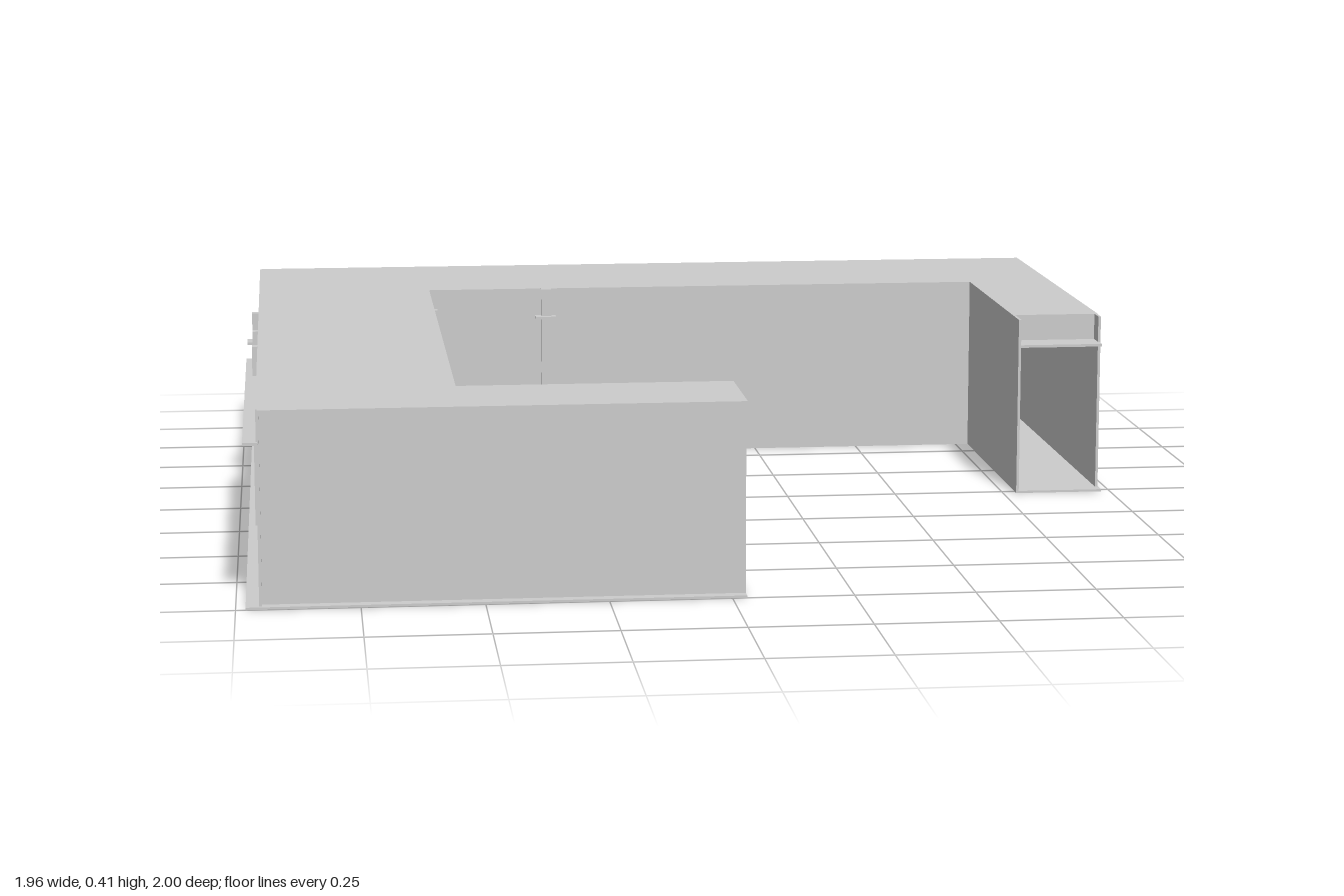
import * as THREE from 'three';

export function createModel() {
  const model = new THREE.Group();
  const mat = new THREE.MeshStandardMaterial({ color: 0xcccccc, flatShading: true, side: THREE.DoubleSide });
  const TOP = 0.405, HEAD = 0.34, T = 0.006;

  // Box given by its minimum and maximum along each axis
  function box(name, x0, x1, y0, y1, z0, z1) {
    const mesh = new THREE.Mesh(new THREE.BoxGeometry(x1 - x0, y1 - y0, z1 - z0), mat);
    mesh.position.set((x0 + x1) / 2, (y0 + y1) / 2, (z0 + z1) / 2);
    mesh.name = name;
    model.add(mesh);
  }
  // Thin walls running along x or along z
  const wallX = (name, x0, x1, z, y0 = 0, y1 = TOP) => box(name, x0, x1, y0, y1, z - T / 2, z + T / 2);
  const wallZ = (name, z0, z1, x, y0 = 0, y1 = TOP) => box(name, x - T / 2, x + T / 2, y0, y1, z0, z1);

  // Floor and roof share the C-shaped plan
  function slab(name, y, left, end) {
    const plan = [[left, -1], [0.98, -1], [0.98, end], [0.78, end], [0.78, -0.59],
      [-0.545, -0.59], [-0.545, 0.76], [0.03, 0.76], [0.03, 1], [left, 1]];
    const shape = new THREE.Shape(plan.map(([x, z]) => new THREE.Vector2(x, -z)));
    const geo = new THREE.ExtrudeGeometry(shape, { depth: 0.005, bevelEnabled: false });
    geo.rotateX(-Math.PI / 2);
    const mesh = new THREE.Mesh(geo, mat);
    mesh.position.y = y;
    mesh.name = name;
    model.add(mesh);
  }
  slab('floor', 0, -0.98, 0.02);
  slab('roof', TOP - 0.005, -0.95, -0.055);

  // Back wall with a doorway
  wallX('backWall', -0.95, 0, -0.975);
  wallX('backWall', 0.2, 0.975, -0.975);
  wallX('backLintel', 0, 0.2, -0.965, HEAD, TOP);
  box('backDoorHead', 0, 0.2, HEAD, HEAD + T, -0.985, -0.94);

  // Outer side wall with a doorway and a long ledge
  wallZ('sideWall', -0.99, 0, -0.95);
  wallZ('sideWall', 0.2, 0.99, -0.95);
  wallZ('sideLintel', 0, 0.2, -0.95, HEAD, TOP);
  box('sideLedge', -0.98, -0.95, HEAD - T, HEAD, -0.02, 1);

  // Remaining outer walls
  wallX('frontWall', -0.95, 0.03, 0.973);
  wallZ('eastWall', -0.99, -0.01, 0.975);

  // Courtyard walls
  wallX('courtyardBackWall', -0.55, 0.78, -0.593);
  wallZ('courtyardSideWall', -0.593, 0.765, -0.555);
  wallX('courtyardFrontWall', -0.555, 0.03, 0.765);
  wallZ('courtyardEastWall', -0.593, 0.02, 0.783);

  // Open corridor ends: lintel above a soffit
  wallZ('frontEndLintel', 0.77, 0.97, 0.02, HEAD, TOP);
  box('frontEndSoffit', -0.04, 0.03, HEAD, HEAD + T, 0.77, 0.97);
  wallX('eastEndLintel', 0.78, 0.975, -0.055, HEAD, TOP);
  box('eastEndSoffit', 0.78, 0.975, HEAD, HEAD + T, -0.055, 0.02);

  // Door posts
  for (const p of [-0.01, 0.2]) {
    box('backDoorPost', p - 0.01, p + 0.015, 0, TOP, -0.99, -0.96);
    box('sideDoorPost', -0.965, -0.94, 0, TOP, p - 0.01, p + 0.015);
  }

  // Portal frames: a pair of posts, a ceiling beam and projecting brackets
  box('backFramePost', -0.275, -0.25, 0, TOP, -0.992, -0.97);
  box('backFramePost', -0.275, -0.25, 0, TOP, -0.595, -0.575);
  box('backFrameBeam', -0.285, -0.245, HEAD, TOP - 0.006, -0.97, -0.595);
  box('backFrameBracket', -0.29, -0.24, HEAD - T, HEAD, -1, -0.97);
  box('backFrameBracket', -0.29, -0.24, HEAD - T, HEAD, -0.595, -0.56);
  box('sideFramePost', -0.968, -0.95, 0, TOP, -0.29, -0.265);
  box('sideFramePost', -0.555, -0.538, 0, TOP, -0.29, -0.265);
  box('sideFrameBeam', -0.95, -0.555, HEAD, TOP - 0.006, -0.295, -0.255);
  box('sideFrameBracket', -0.98, -0.95, HEAD - T, HEAD, -0.3, -0.25);
  box('sideFrameBracket', -0.555, -0.535, HEAD - T, HEAD, -0.3, -0.25);

  return model;
}
